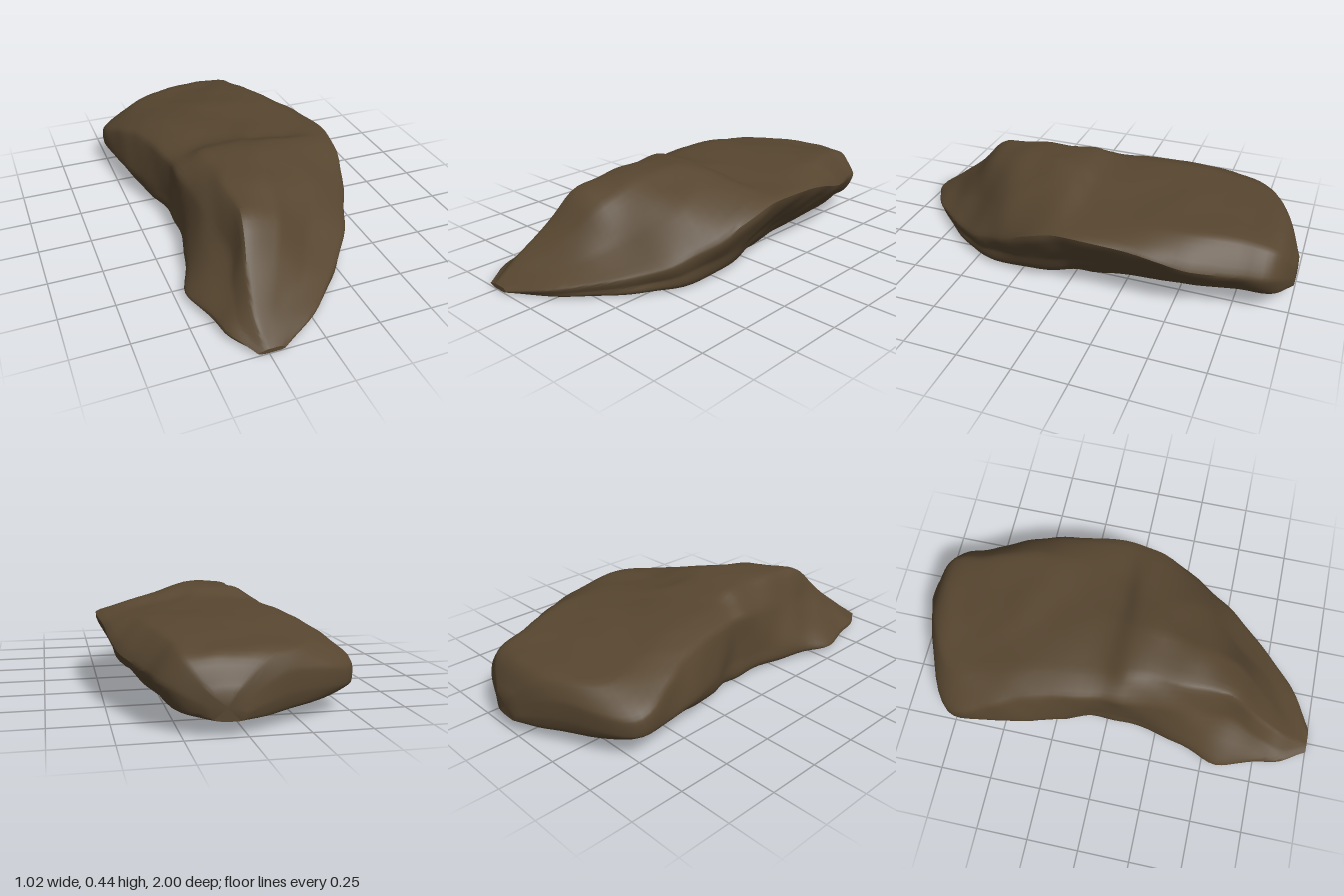
import * as THREE from 'three';
import { toCreasedNormals } from 'three/addons/utils/BufferGeometryUtils.js';

// Stations along the rock, from the low front toe to the blunt back
const Z = [1, 0.9, 0.75, 0.57, 0.35, 0.08, -0.04, -0.36, -0.55, -0.76, -0.92, -1];

// A rail is one lengthwise line over the rock's skin
const rail = (xs, ys) => new THREE.CatmullRomCurve3(
  Z.map((z, i) => new THREE.Vector3(xs[i], ys[i], z)));

const bottomLeft = rail(
  [-0.27, -0.34, -0.37, -0.41, -0.34, -0.31, -0.31, -0.38, -0.4, -0.4, -0.14, 0.03],
  [0.01, 0.02, 0.02, 0.03, 0.02, 0.02, 0.02, 0.05, 0.08, 0.09, 0.07, 0.07]);
const leftWaist = rail(
  [-0.3, -0.36, -0.4, -0.44, -0.38, -0.34, -0.34, -0.46, -0.495, -0.49, -0.19, 0.01],
  [0.02, 0.04, 0.05, 0.06, 0.09, 0.12, 0.13, 0.14, 0.13, 0.13, 0.14, 0.1]);
const leftShoulder = rail(
  [-0.28, -0.32, -0.31, -0.26, -0.3, -0.33, -0.34, -0.4, -0.46, -0.49, -0.18, 0.03],
  [0.025, 0.06, 0.13, 0.23, 0.29, 0.33, 0.34, 0.33, 0.28, 0.21, 0.23, 0.14]);
const leftCrest = rail(
  [-0.26, -0.27, -0.25, -0.2, -0.2, -0.2, -0.22, -0.26, -0.3, -0.32, -0.1, 0.05],
  [0.03, 0.1, 0.22, 0.38, 0.41, 0.42, 0.39, 0.38, 0.35, 0.31, 0.29, 0.18]);
const crest = rail(
  [-0.24, -0.2, -0.12, -0.03, 0, 0.02, 0.05, 0.08, 0.1, 0.1, 0.1, 0.1],
  [0.03, 0.09, 0.19, 0.35, 0.42, 0.445, 0.4, 0.38, 0.37, 0.34, 0.31, 0.18]);
const rightShoulder = rail(
  [-0.2, -0.1, 0, 0.11, 0.24, 0.18, 0.28, 0.33, 0.32, 0.26, 0.24, 0.14],
  [0.03, 0.07, 0.13, 0.21, 0.33, 0.41, 0.365, 0.37, 0.37, 0.34, 0.3, 0.17]);
const rightWaist = rail(
  [-0.18, -0.02, 0.14, 0.29, 0.41, 0.49, 0.5, 0.48, 0.45, 0.37, 0.31, 0.15],
  [0.02, 0.05, 0.08, 0.12, 0.2, 0.32, 0.34, 0.31, 0.26, 0.22, 0.2, 0.12]);
const rightHollow = rail(
  [-0.18, -0.03, 0.13, 0.28, 0.385, 0.4, 0.38, 0.35, 0.33, 0.29, 0.26, 0.14],
  [0.015, 0.03, 0.04, 0.06, 0.1, 0.14, 0.15, 0.13, 0.11, 0.1, 0.1, 0.08]);
const bottomRight = rail(
  [-0.2, -0.06, 0.1, 0.25, 0.33, 0.31, 0.27, 0.19, 0.13, 0.07, 0.1, 0.1],
  [0.01, 0.01, 0.01, 0.01, 0.01, 0.02, 0.02, 0.01, 0.01, 0.03, 0.05, 0.07]);

const RAILS = [bottomLeft, leftWaist, leftShoulder, leftCrest, crest,
  rightShoulder, rightWaist, rightHollow, bottomRight];
const ROWS = 66, COLS = 54;

// Gentle, repeatable weathering
const bump = (x, y, z) =>
  0.5 * Math.sin(13 * x + 5 * z + 2 * Math.sin(7 * z)) * Math.cos(11 * z - 9 * y) +
  0.35 * Math.sin(23 * z + 17 * x) * Math.sin(19 * y + 21 * x + 1.3);

// One closed, weathered cross-section, with its centre
function crossSection(i) {
  const section = new THREE.CatmullRomCurve3(
    RAILS.map((r) => r.getPoint(i / ROWS)), true, 'catmullrom', 0.25);
  const ring = Array.from({ length: COLS }, (_, j) => section.getPoint(j / COLS));
  const centre = new THREE.Vector3();
  ring.forEach((p) => centre.addScaledVector(p, 1 / COLS));
  const fade = Math.min(1, Math.min(i, ROWS - i) / 8);
  for (const p of ring) {
    const out = p.clone().sub(centre).setZ(0).normalize();
    const amount = 0.012 * fade * (out.y < -0.7 ? 0.3 : 1);
    p.addScaledVector(out, amount * bump(p.x, p.y, p.z));
  }
  return { ring, centre };
}

// Skin joining the cross-sections, closed at both ends
function rockGeometry() {
  const sections = Array.from({ length: ROWS + 1 }, (_, i) => crossSection(i));
  const points = sections.flatMap((s) => s.ring);
  points.push(sections[0].centre, sections[ROWS].centre);
  const front = (ROWS + 1) * COLS, back = front + 1;
  const index = [];
  for (let j = 0; j < COLS; j++) {
    const k = (j + 1) % COLS;
    for (let i = 0; i < ROWS; i++) {
      const a = i * COLS + j, b = i * COLS + k, c = a + COLS, d = b + COLS;
      index.push(a, b, c, b, d, c);
    }
    index.push(front, k, j, back, ROWS * COLS + j, ROWS * COLS + k);
  }
  const geo = new THREE.BufferGeometry().setFromPoints(points);
  geo.setIndex(index);
  geo.computeBoundingBox();
  geo.translate(0, -geo.boundingBox.min.y, 0);
  return toCreasedNormals(geo, 0.7);
}

export function createModel() {
  const stone = new THREE.MeshStandardMaterial({ color: 0x574630 });
  stone.name = 'brownStone';
  const rock = new THREE.Mesh(rockGeometry(), stone);
  rock.name = 'rock';
  const group = new THREE.Group();
  group.name = 'rockSlab';
  group.add(rock);
  return group;
}
